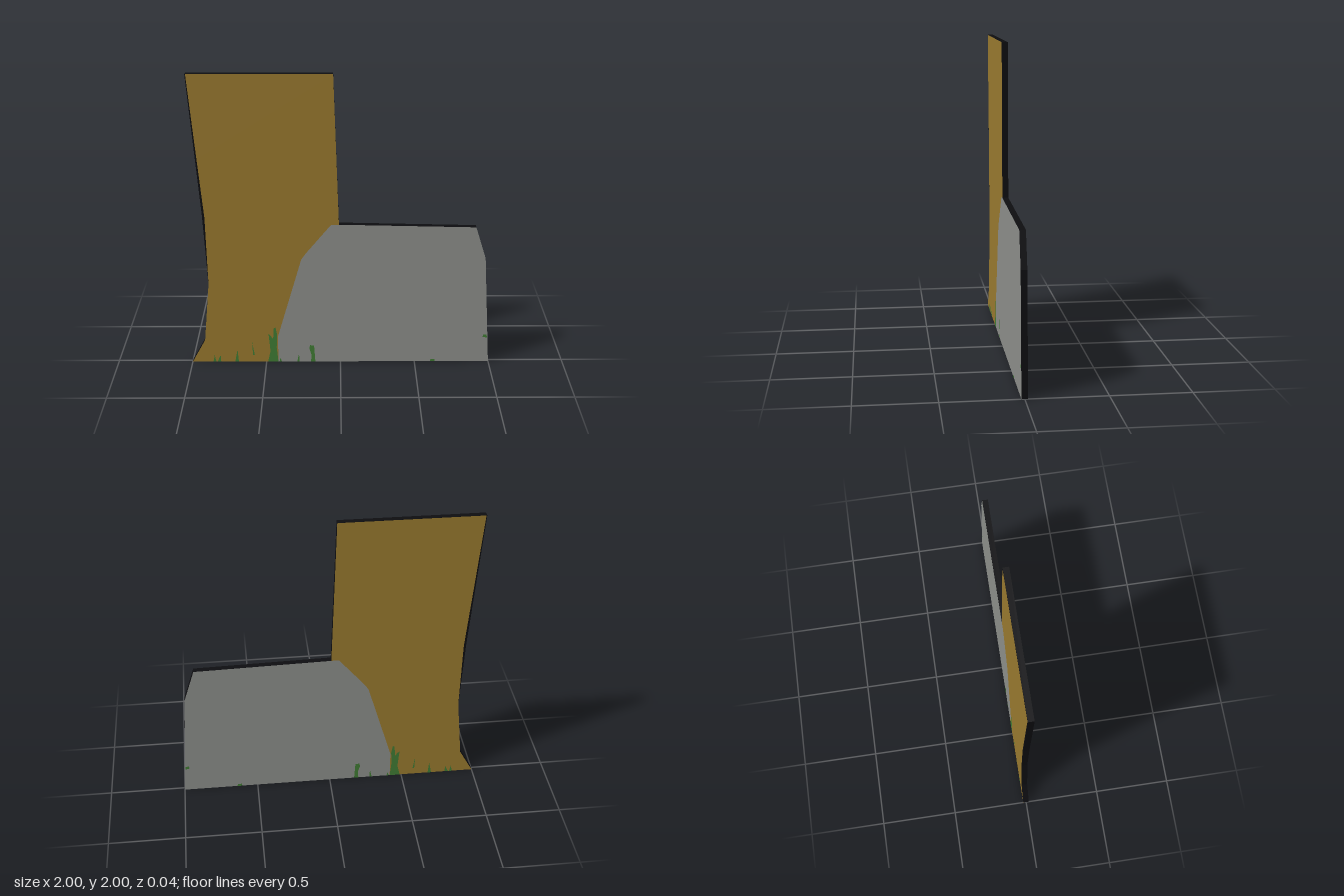
import * as THREE from 'three';

const mat = (name, color) => new THREE.MeshStandardMaterial({ name, color });

export function createModel() {
  const wood = mat('ochre', 0x97782e);
  const stone = mat('grey', 0x8b8d89);
  const green = mat('grassGreen', 0x3f7a33);
  const black = mat('edgeBlack', 0x0d0d10);
  const half = 0.02;
  const model = new THREE.Group();
  model.name = 'cutoutPanel';

  const shape = (pts) => new THREE.Shape(pts.map(([x, y]) => new THREE.Vector2(x, y)));

  // Dark slab whose rim shows all round
  const outline = [[-1, 0], [1, 0], [0.95, 0.76], [0.88, 0.98], [-0.01, 1], [-0.045, 2],
    [-0.96, 2], [-0.893, 1.07], [-0.87, 0.58], [-0.91, 0.165]];
  const slab = new THREE.ExtrudeGeometry(shape(outline), { depth: 2 * half - 0.002, bevelEnabled: false });
  slab.translate(0, 0, -half + 0.001);
  const core = new THREE.Mesh(slab, black);
  core.name = 'darkRim';
  model.add(core);

  // Flat painted piece on both the front and the back
  function painted(name, pts, material, z) {
    const list = Array.isArray(pts[0][0]) ? pts : [pts];
    const geometry = new THREE.ShapeGeometry(list.map(shape));
    const back = geometry.clone().scale(-1, 1, 1).rotateY(Math.PI);
    // Mirroring flips the winding, so rebuild it to face backwards
    const index = back.index.array;
    const position = geometry.attributes.position;
    for (let i = 0; i < position.count; i++) {
      back.attributes.position.setXYZ(i, position.getX(i), position.getY(i), 0);
      back.attributes.normal.setXYZ(i, 0, 0, -1);
    }
    for (let i = 0; i < index.length; i += 3) {
      [index[i], index[i + 1]] = [index[i + 1], index[i]];
    }
    [[geometry, z, 'Front'], [back, -z, 'Back']].forEach(([g, depth, side]) => {
      const mesh = new THREE.Mesh(g, material);
      mesh.name = name + side;
      mesh.position.z = depth;
      model.add(mesh);
    });
  }

  // Tall trunk with a flared foot
  painted('trunk', [[-1, 0], [-0.42, 0], [-0.42, 0.19], [-0.257, 0.754], [-0.225, 0.8], [-0.06, 1],
    [-0.01, 1], [-0.045, 2], [-0.955, 2], [-0.91, 1.45], [-0.877, 1.05], [-0.87, 0.58], [-0.91, 0.165]], wood, half);

  // Boulder beside it
  painted('boulder', [[-0.42, 0], [1, 0], [0.95, 0.76], [0.88, 0.98], [-0.01, 1], [-0.06, 1],
    [-0.225, 0.8], [-0.257, 0.754], [-0.42, 0.19]], stone, half);

  // Grass tufts and single blades along the ground: x, base, width, top, lean
  const blades = [[-0.85, 0, 0.02, 0.05, 0], [-0.82, 0, 0.025, 0.05, 0.01], [-0.7, 0, 0.025, 0.09, 0.005],
    [-0.585, 0.05, 0.012, 0.15, -0.01], [-0.405, 0, 0.015, 0.03, 0], [-0.285, 0, 0.016, 0.06, 0.005]]
    .map(([x, base, w, top, lean]) => [[x - w / 2, base], [x + w / 2, base], [x + lean, top]]);
  const tufts = [
    [[-0.49, 0], [-0.42, 0], [-0.43, 0.11], [-0.425, 0.2], [-0.435, 0.26], [-0.447, 0.25], [-0.453, 0.17],
      [-0.465, 0.19], [-0.483, 0.21], [-0.472, 0.08]],
    [[-0.2, 0], [-0.17, 0], [-0.178, 0.12], [-0.205, 0.125], [-0.21, 0.1], [-0.195, 0.05]],
    [[0.605, 0], [0.64, 0], [0.635, 0.018], [0.61, 0.018]],
    [[0.955, 0.185], [0.985, 0.178], [0.982, 0.2], [0.96, 0.203]],
  ];
  painted('grass', [...blades, ...tufts], green, half + 0.001);

  return model;
}
